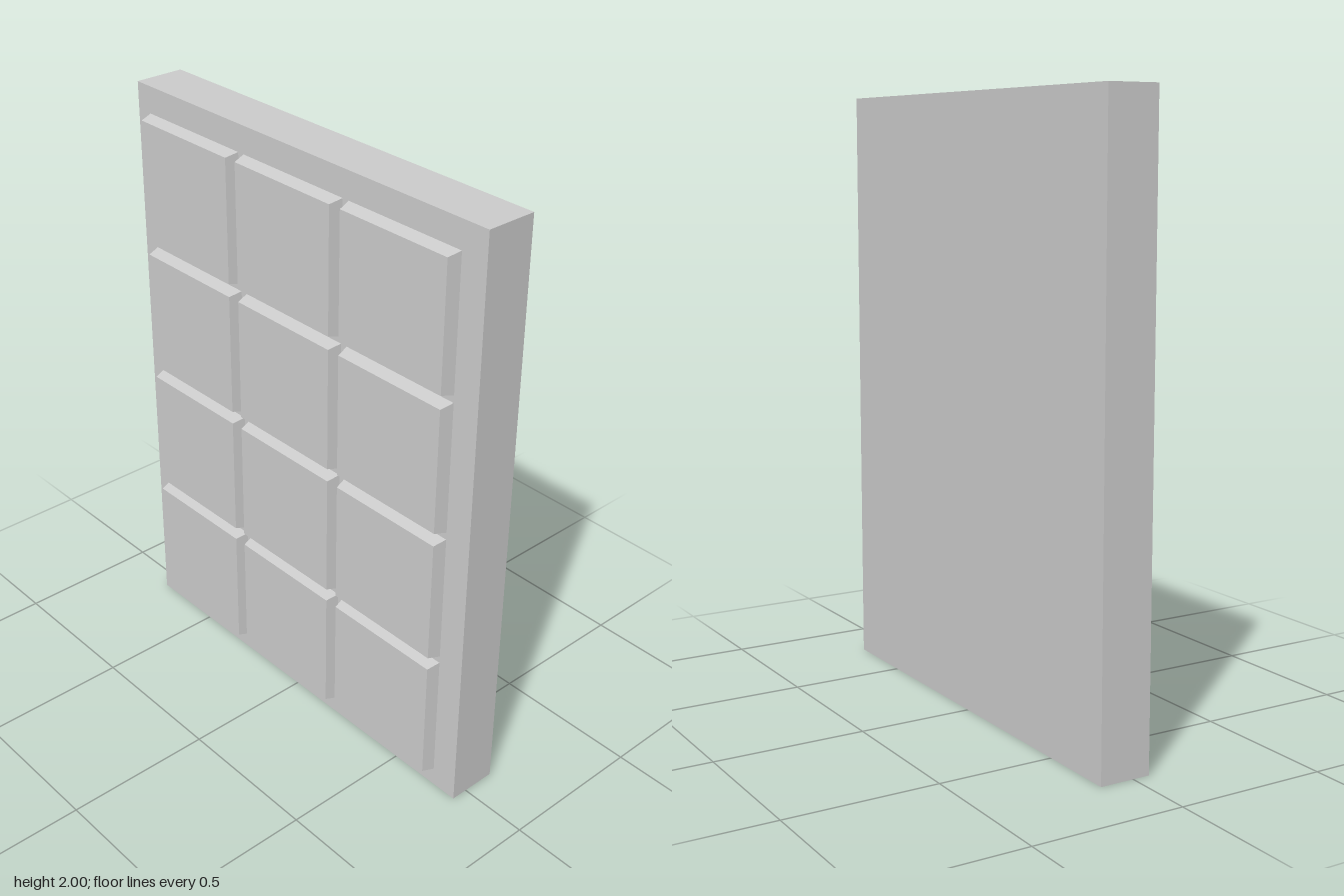
import * as THREE from 'three';

const material = new THREE.MeshStandardMaterial({ color: 0xcccccc, flatShading: true });

const WIDTH = 1.53, HEIGHT = 2;
const BACK = -0.114, FACE = 0.057, CAP_BACK = 0.071, CAP_FRONT = 0.114;
const PITCH = 0.465, COLUMNS = 3, ROWS = 4;
const CAP_SIZE = 0.44, CAP_FRONT_SIZE = 0.42, STEM_SIZE = 0.395;

// Box between two depths, its front face optionally narrowed to a smaller size
function slab(width, height, z0, z1, frontScale = 1) {
  const geometry = new THREE.BoxGeometry(width, height, z1 - z0);
  const p = geometry.attributes.position;
  for (let i = 0; i < p.count; i++) {
    if (p.getZ(i) > 0) p.setXY(i, p.getX(i) * frontScale, p.getY(i) * frontScale);
  }
  geometry.translate(0, 0, (z0 + z1) / 2);
  geometry.computeVertexNormals();
  return geometry;
}

function addMesh(parent, name, geometry) {
  const mesh = new THREE.Mesh(geometry, material);
  mesh.name = name;
  parent.add(mesh);
  return mesh;
}

export function createModel() {
  const model = new THREE.Group();
  model.name = 'keypad';

  // Backing block
  addMesh(model, 'body', slab(WIDTH, HEIGHT, BACK, FACE)).position.y = HEIGHT / 2;

  // Keys: a tapered cap on a slightly smaller stem, in a 3 by 4 grid
  const capGeometry = slab(CAP_SIZE, CAP_SIZE, CAP_BACK, CAP_FRONT, CAP_FRONT_SIZE / CAP_SIZE);
  const stemGeometry = slab(STEM_SIZE, STEM_SIZE, FACE, CAP_BACK);
  for (let row = 0; row < ROWS; row++) {
    for (let column = 0; column < COLUMNS; column++) {
      const key = new THREE.Group();
      key.name = `key${row * COLUMNS + column + 1}`;
      key.position.x = (column - (COLUMNS - 1) / 2) * PITCH;
      key.position.y = HEIGHT / 2 + ((ROWS - 1) / 2 - row) * PITCH;
      addMesh(key, 'keyStem', stemGeometry);
      addMesh(key, 'keyCap', capGeometry);
      model.add(key);
    }
  }
  return model;
}
